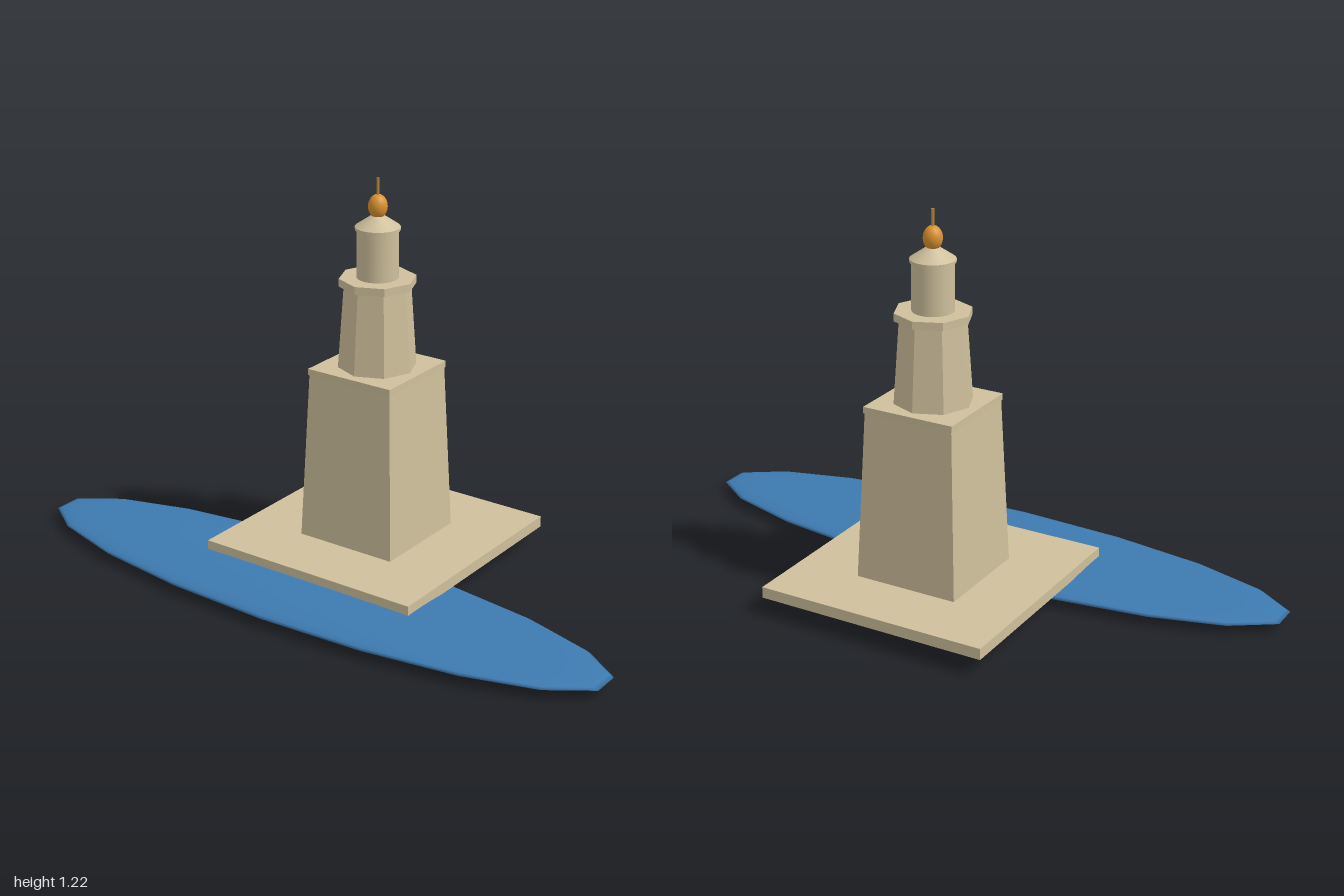
import * as THREE from 'three';

const material = (name, color) => {
  const m = new THREE.MeshStandardMaterial({ color });
  m.name = name;
  return m;
};

export function createModel() {
  const stone = material('limestone', 0xcfc09c);
  const water = material('sea blue', 0x3d7ab0);
  const fire = material('fire orange', 0xd9922e);
  const bronze = material('bronze', 0xb38636);

  const model = new THREE.Group();
  model.name = 'lighthouse';
  const tower = new THREE.Group();
  tower.name = 'tower';
  tower.position.z = -0.108;
  model.add(tower);

  const add = (parent, name, geometry, mat) => {
    const mesh = new THREE.Mesh(geometry, mat);
    mesh.name = name;
    parent.add(mesh);
    return mesh;
  };

  // Tapered prism between two heights; faceted ones get one normal per face
  const prism = (name, sides, rBottom, rTop, y0, y1, faceted, mat = stone) => {
    let g = new THREE.CylinderGeometry(rTop, rBottom, y1 - y0, sides);
    if (sides === 4) g.rotateY(Math.PI / 4);
    if (faceted) {
      g = g.toNonIndexed();
      g.computeVertexNormals();
    }
    g.translate(0, (y0 + y1) / 2, 0);
    return add(tower, name, g, mat);
  };
  const square = (name, halfBottom, halfTop, y0, y1) =>
    prism(name, 4, halfBottom * Math.SQRT2, halfTop * Math.SQRT2, y0, y1, true);

  // Flattened sea disc
  const sea = add(model, 'sea', new THREE.SphereGeometry(1, 18, 18, Math.PI / 2), water);
  sea.scale.set(1.0154, 0.0315, 0.252);
  sea.position.set(0, 0.0315, 0.228);

  // Square platform and lower tier
  square('platform', 0.372, 0.372, 0.055, 0.09);
  square('lowerTier', 0.167, 0.146, 0.09, 0.615);
  square('lowerCornice', 0.149, 0.149, 0.615, 0.635);

  // Octagonal middle tier
  prism('middleTier', 8, 0.12, 0.102, 0.635, 0.89, true);
  prism('middleCornice', 8, 0.117, 0.117, 0.89, 0.914, true);

  // Round lantern with its conical roof
  prism('lantern', 24, 0.063, 0.063, 0.914, 1.061, false);
  prism('roofEave', 24, 0.068, 0.068, 1.061, 1.07, false);
  prism('roof', 24, 0.068, 0.004, 1.07, 1.114, false);

  // Beacon flame and finial
  const flame = add(tower, 'flame', new THREE.SphereGeometry(1, 20, 14), fire);
  flame.scale.set(0.029, 0.037, 0.029);
  flame.position.y = 1.131;
  prism('finial', 10, 0.005, 0.005, 1.15, 1.217, false, bronze);

  return model;
}
